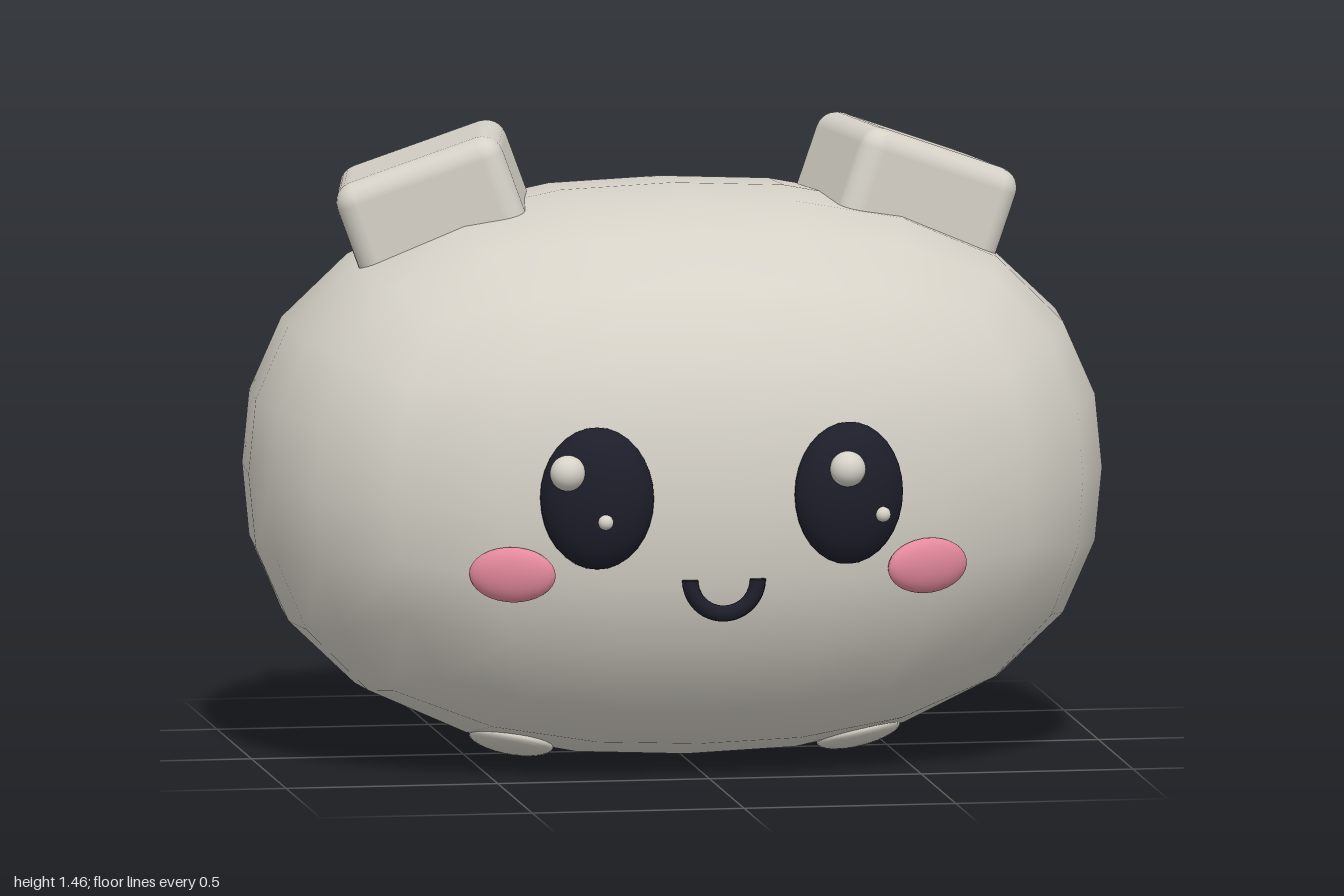
import * as THREE from 'three';
import { mergeVertices } from 'three/addons/utils/BufferGeometryUtils.js';
import { RoundedBoxGeometry } from 'three/addons/geometries/RoundedBoxGeometry.js';

const mat = (name, color) => {
  const m = new THREE.MeshStandardMaterial({ color });
  m.name = name;
  return m;
};

// Plump rounded body: a cube grid pushed out to a superellipsoid
function bodyGeometry(rx, ry, rz, power) {
  const geo = new THREE.BoxGeometry(2, 2, 2, 6, 6, 6);
  geo.deleteAttribute('normal');
  geo.deleteAttribute('uv');
  const merged = mergeVertices(geo);
  const p = merged.attributes.position;
  const even = (t) => Math.tan((t * Math.PI) / 4);
  for (let i = 0; i < p.count; i++) {
    const v = [even(p.getX(i)), even(p.getY(i)), even(p.getZ(i))];
    const len = Math.pow(v.reduce((s, c) => s + Math.pow(Math.abs(c), power), 0), 1 / power);
    p.setXYZ(i, (v[0] / len) * rx, (v[1] / len) * ry, (v[2] / len) * rz);
  }
  merged.computeVertexNormals();
  return merged;
}

export function createModel() {
  const model = new THREE.Group();
  const cream = mat('cream', 0xd6d2c8);
  const dark = mat('dark', 0x1e1e2b);
  const pink = mat('pink', 0xe58a9d);

  const add = (name, geo, material, pos, rot = [0, 0, 0]) => {
    const mesh = new THREE.Mesh(geo, material);
    mesh.name = name;
    mesh.position.set(...pos);
    mesh.rotation.set(...rot, 'YXZ');
    model.add(mesh);
    return mesh;
  };
  const ellipsoid = (name, material, radii, pos, rot) =>
    add(name, new THREE.SphereGeometry(1, 24, 16), material, pos, rot).scale.set(...radii);

  add('body', bodyGeometry(1, 0.664, 0.762, 2.4), cream, [0, 0.666, -0.043]);

  // Mirrored parts
  for (const s of [1, -1]) {
    const side = s > 0 ? 'left' : 'right';
    add(side + 'Ear', new RoundedBoxGeometry(0.41, 0.36, 0.38, 3, 0.05), cream,
      [s * 0.54, 1.24, -0.08], [0, s * 0.19, -s * 0.35]);
    ellipsoid(side + 'Eye', dark, [0.133, 0.167, 0.075], [s * 0.297, 0.695, 0.692], [0, s * 0.2, 0]);
    ellipsoid(side + 'Cheek', pink, [0.102, 0.066, 0.032], [s * 0.49, 0.514, 0.65], [0.12, s * 0.3, 0]);
    ellipsoid(side + 'Foot', cream, [0.1, 0.032, 0.12], [s * 0.41, 0.052, 0.14], [-0.2, 0, s * 0.22]);
  }

  // Eye highlights, both leaning the same way
  ellipsoid('leftEyeGlint', cream, [0.042, 0.042, 0.042], [0.283, 0.762, 0.768]);
  ellipsoid('rightEyeGlint', cream, [0.042, 0.042, 0.042], [-0.373, 0.762, 0.735]);
  ellipsoid('leftEyeSparkle', cream, [0.018, 0.018, 0.018], [0.37, 0.65, 0.745]);
  ellipsoid('rightEyeSparkle', cream, [0.018, 0.018, 0.018], [-0.29, 0.65, 0.777]);

  // Smile: half ring with flat ends
  add('mouth', new THREE.TorusGeometry(0.08, 0.019, 10, 24, Math.PI), dark, [0, 0.5, 0.71], [0, 0, Math.PI]);
  for (const s of [1, -1]) {
    add('mouthEnd', new THREE.CircleGeometry(0.019, 10), dark, [s * 0.08, 0.5, 0.71], [-Math.PI / 2, 0, 0]);
  }
  return model;
}
